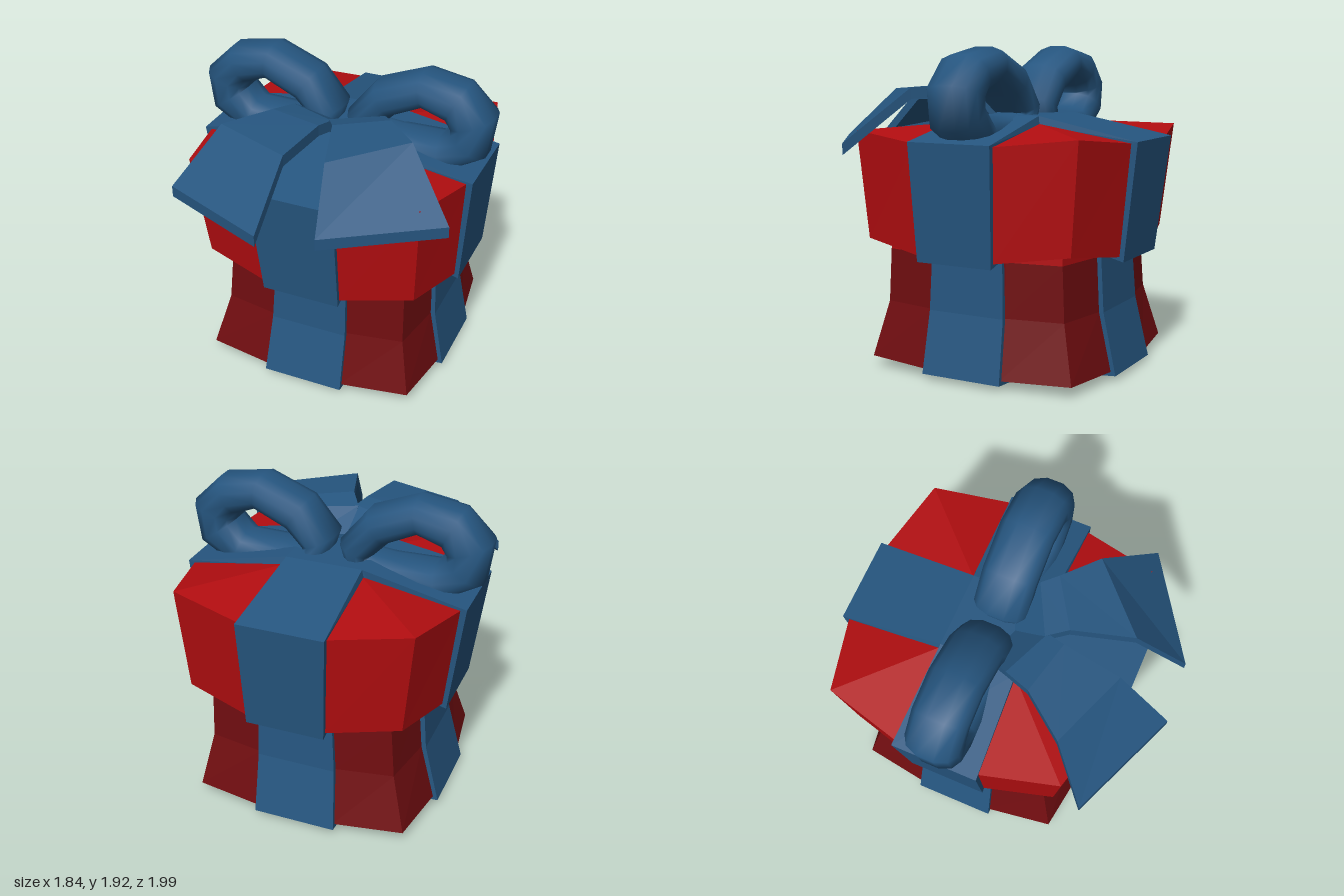
import * as THREE from 'three';
import { mergeVertices } from 'three/addons/utils/BufferGeometryUtils.js';

const CENTRE_Z = -0.135;

// Skin a list of cross-section loops; facets stay flat unless smooth is set
function loft(rings, { caps = true, smooth = false } = {}) {
  const pos = [];
  const tri = (...p) => p.forEach((v) => pos.push(...v));
  const n = rings[0].length;
  for (let i = 0; i < rings.length - 1; i++) {
    for (let j = 0; j < n; j++) {
      const k = (j + 1) % n;
      const [a, b, c, d] = [rings[i][j], rings[i][k], rings[i + 1][k], rings[i + 1][j]];
      tri(a, b, c);
      tri(a, c, d);
    }
  }
  if (caps) {
    for (const [ring, first] of [[rings[0], true], [rings[rings.length - 1], false]]) {
      const mid = [0, 1, 2].map((ax) => ring.reduce((s, p) => s + p[ax], 0) / n);
      for (let j = 0; j < n; j++) {
        const a = ring[j], b = ring[(j + 1) % n];
        if (first) tri(mid, b, a); else tri(mid, a, b);
      }
    }
  }
  let geo = new THREE.BufferGeometry();
  geo.setAttribute('position', new THREE.Float32BufferAttribute(pos, 3));
  if (smooth) geo = mergeVertices(geo, 1e-4);
  geo.computeVertexNormals();
  return geo;
}

// Twelve-sided outline: ribbon-side points at (edge, half), drawn-in corners
function outline(edge, edgeY, corner, cornerY, half = 0.24) {
  const ring = [];
  for (let k = 0; k < 4; k++) {
    for (const [p0, q0, y] of [[edge, half, edgeY], [corner, corner, cornerY], [half, edge, edgeY]]) {
      let p = p0, q = q0;
      for (let r = 0; r < k; r++) [p, q] = [-q, p];
      ring.push([p, y, -q]);
    }
  }
  return ring;
}

// Move a part onto the box axis, which leans slightly at the waist
function place(geo) {
  const p = geo.attributes.position;
  for (let i = 0; i < p.count; i++) {
    const lean = 0.013 + 0.022 * Math.max(0, 1 - Math.abs(p.getY(i) - 0.72) / 0.68);
    p.setX(i, p.getX(i) + lean);
    p.setZ(i, p.getZ(i) + CENTRE_Z);
  }
  geo.computeVertexNormals();
  return geo;
}

// Ribbon band: mirrored half profile, extruded to a half width given by rule
function band(half, widthAt, turn) {
  const pts = [...half, ...half.map(([u, y]) => [-u, y]).reverse()];
  const shape = new THREE.Shape(pts.map(([u, y]) => new THREE.Vector2(u, y)));
  const geo = new THREE.ExtrudeGeometry(shape, { depth: 1, bevelEnabled: false });
  const p = geo.attributes.position;
  for (let i = 0; i < p.count; i++) p.setZ(i, (p.getZ(i) - 0.5) * 2 * widthAt(p.getY(i)));
  if (turn) geo.rotateY(Math.PI / 2);
  return place(geo);
}

// Bow loop: closed tube of oval section; path points are x, y, in-plane radius
function bowLoop(side) {
  const path = [
    [0.12, 1.56, 0.11], [0.25, 1.71, 0.115], [0.49, 1.812, 0.108], [0.69, 1.765, 0.125],
    [0.785, 1.66, 0.145], [0.77, 1.53, 0.14], [0.62, 1.42, 0.11], [0.32, 1.42, 0.1], [0.15, 1.45, 0.1],
  ].map(([x, y, r]) => [x * side, y, r]);
  if (side < 0) path.reverse();
  const n = path.length, sides = 12;
  const rings = path.map(([x, y, r], i) => {
    const a = path[(i + n - 1) % n], b = path[(i + 1) % n];
    const t = new THREE.Vector2(b[0] - a[0], b[1] - a[1]).normalize();
    return Array.from({ length: sides }, (_, j) => {
      const f = ((j + 0.5) / sides) * Math.PI * 2;
      const soft = (v) => Math.sign(v) * Math.abs(v) ** 0.85;
      const u = soft(Math.cos(f)) * r;
      return [x - t.y * u, y + t.x * u, CENTRE_Z + soft(Math.sin(f)) * 0.165];
    });
  });
  rings.push(rings[0]);
  return loft(rings, { caps: false, smooth: true });
}

// Ribbon tail: plate through stations of right-hand and left-hand edge points
function tail(stations, thick = 0.068) {
  const drop = ([x, y, z]) => [x, y - thick, z];
  return loft(stations.map(([a, b]) => [a, b, drop(b), drop(a)]));
}

export function createModel() {
  const model = new THREE.Group();
  const material = (name, color) => {
    const m = new THREE.MeshStandardMaterial({ color });
    m.name = name;
    return m;
  };
  const blue = material('ribbon blue', 0x265680);
  const red = material('lid red', 0xb20d10);
  const darkRed = material('box dark red', 0x700d10);
  const add = (name, geo, mat) => {
    const mesh = new THREE.Mesh(geo, mat);
    mesh.name = name;
    model.add(mesh);
  };

  // Box with a pinched waist
  add('box', place(loft([
    outline(0.72, 0.055, 0.66, 0.065),
    outline(0.64, 0.4, 0.582, 0.4),
    outline(0.622, 0.72, 0.567, 0.72),
  ])), darkRed);

  // Lid with inner lip, flared sides and a low peaked top
  add('lid', place(loft([
    outline(0.622, 0.72, 0.567, 0.72),
    outline(0.622, 0.76, 0.567, 0.81),
    outline(0.765, 0.735, 0.66, 0.79),
    outline(0.832, 1.38, 0.715, 1.43),
    outline(0.235, 1.47, 0.235, 1.47, 0.235),
  ])), red);

  // Crossed ribbons around the box and over the lid
  const boxProfile = [[0.25, 0], [0.748, 0.033], [0.668, 0.4], [0.645, 0.78]];
  const lidProfile = [[0.64, 0.745], [0.79, 0.706], [0.865, 1.392], [0.235, 1.515]];
  const boxWidth = (y) => 0.255 - 0.033 * y;
  const lidWidth = (y) => (y > 1.45 ? 0.235 : 0.24 + 0.033 * (y - 0.71));
  [['Across', false], ['FrontToBack', true]].forEach(([dir, turn]) => {
    add('boxRibbon' + dir, band(boxProfile, boxWidth, turn), blue);
    add('lidRibbon' + dir, band(lidProfile, lidWidth, turn), blue);
  });

  // Bow
  add('leftBowLoop', bowLoop(1), blue);
  add('rightBowLoop', bowLoop(-1), blue);
  add('leftTail', tail([
    [[0.2, 1.54, -0.08], [0, 1.54, 0]],
    [[0.3, 1.66, 0.03], [0.01, 1.65, 0.18]],
    [[0.37, 1.69, 0.12], [0.085, 1.685, 0.3]],
    [[0.57, 1.68, 0.3], [0.2, 1.655, 0.66]],
    [[0.89, 1.365, 0.565], [0.28, 1.365, 0.967]],
  ]), blue);
  add('rightTail', tail([
    [[0.03, 1.54, 0], [-0.2, 1.54, -0.08]],
    [[0.03, 1.65, 0.19], [-0.27, 1.64, 0.06]],
    [[0, 1.665, 0.3], [-0.33, 1.665, 0.22]],
    [[-0.05, 1.642, 0.66], [-0.53, 1.65, 0.48]],
    [[-0.07, 1.31, 0.993], [-0.747, 1.31, 0.715]],
  ]), blue);

  return model;
}
